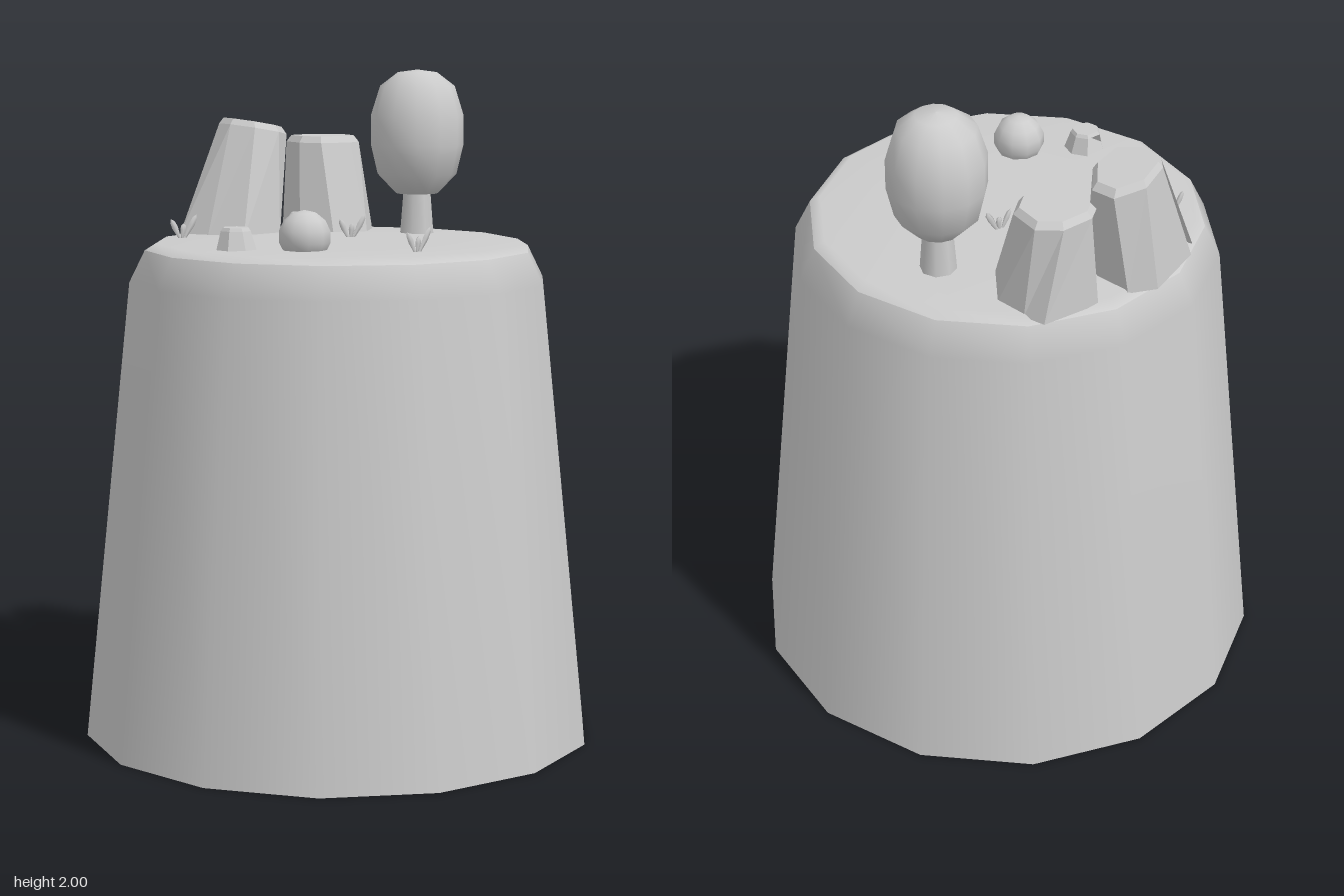
import * as THREE from 'three';

const material = (options = {}) => new THREE.MeshStandardMaterial({ color: 0xcccccc, ...options });
const smooth = material({ side: THREE.DoubleSide });
const faceted = material({ side: THREE.DoubleSide, flatShading: true });

function mesh(name, geometry, mat = smooth) {
  const m = new THREE.Mesh(geometry, mat);
  m.name = name;
  return m;
}

function lathe(points, sides, start = 0) {
  return new THREE.LatheGeometry(points.map(([r, y]) => new THREE.Vector2(r, y)), sides, start);
}

// Hollow tapered rock with a bevelled cap; the last side, at the back, is left open
function rock(name, base, top, baseY, topY, bevel) {
  const n = base.length;
  const cx = top.reduce((s, p) => s + p[0], 0) / n;
  const cz = top.reduce((s, p) => s + p[1], 0) / n;
  const rings = [
    base.map(([x, z]) => [x, baseY, z]),
    top.map(([x, z]) => [x, topY(x) - bevel, z]),
    top.map(([x, z]) => {
      const ix = cx + (x - cx) * 0.86, iz = cz + (z - cz) * 0.86;
      return [ix, topY(ix), iz];
    }),
  ];
  const index = [];
  for (let r = 0; r < 2; r++) {
    for (let i = 0; i < n; i++) {
      if (r === 0 && i === n - 1) continue;
      const a = r * n + i, b = r * n + (i + 1) % n;
      index.push(a, b, b + n, a, b + n, a + n);
    }
  }
  for (let i = 0; i < n; i++) index.push(2 * n + i, 2 * n + (i + 1) % n, 3 * n);
  const g = new THREE.BufferGeometry();
  const positions = [...rings.flat(2), cx, topY(cx), cz];
  g.setAttribute('position', new THREE.Float32BufferAttribute(positions, 3));
  g.setIndex(index);
  g.computeVertexNormals();
  return mesh(name, g, faceted);
}

// Outline of a small rock, starting and ending beside its open back
function outline(cx, cz, radius) {
  return Array.from({ length: 7 }, (_, i) => {
    const t = Math.PI * (1.17 + i * 0.277);
    return [cx + radius * Math.sin(t), cz + radius * Math.cos(t)];
  });
}

// Three narrow flattened blades fanning out from one root
function grassTuft(x, z, turn) {
  const tuft = new THREE.Group();
  tuft.name = 'grassTuft';
  [[-0.45, 0.065], [0.1, 0.045], [0.5, 0.08]].forEach(([lean, height], i) => {
    const g = lathe([[0.004, 0], [0.01, height * 0.55], [0.008, height * 0.85], [0, height]], 5);
    g.scale(1, 1, 0.5);
    const blade = mesh('grassBlade', g);
    blade.position.x = (i - 1) * 0.008;
    blade.rotation.z = -lean;
    tuft.add(blade);
  });
  tuft.position.set(x, 1.495, z);
  tuft.rotation.y = turn;
  return tuft;
}

export function createModel() {
  const model = new THREE.Group();
  model.name = 'pillarIsland';

  // Tapered pillar, open underneath, with a low domed top
  const start = THREE.MathUtils.degToRad(-6.4);
  model.add(mesh('pillarWall', lathe([[0.772, 0], [0.629, 1.38], [0.582, 1.475]], 14, start)));
  model.add(mesh('groundTop', lathe([[0.582, 1.475], [0.55, 1.495], [0.3, 1.498], [0, 1.498]], 14, start)));

  // Two tall rocks at the back edge
  model.add(rock('leaningRock',
    [[-0.31, -0.47], [-0.26, -0.37], [-0.18, -0.28], [-0.03, -0.33], [0.02, -0.44], [0, -0.55], [-0.08, -0.585], [-0.27, -0.51]],
    [[-0.16, -0.49], [-0.155, -0.42], [-0.1, -0.36], [-0.01, -0.375], [0.055, -0.45], [0.04, -0.525], [-0.05, -0.555], [-0.14, -0.52]],
    1.485, (x) => 1.835 - 0.17 * (x + 0.06), 0.02));
  model.add(rock('uprightRock',
    [[0.05, -0.47], [0.05, -0.35], [0.12, -0.255], [0.23, -0.24], [0.315, -0.36], [0.3, -0.46], [0.28, -0.525], [0.1, -0.54]],
    [[0.08, -0.5], [0.075, -0.4], [0.12, -0.34], [0.22, -0.335], [0.275, -0.38], [0.28, -0.48], [0.22, -0.53], [0.12, -0.53]],
    1.485, () => 1.79, 0.02));

  // Two small rocks
  for (const [x, z] of [[-0.4, 0.125], [0.035, -0.295]]) {
    model.add(rock('smallRock', outline(x, z, 0.062), outline(x, z - 0.005, 0.045),
      1.49, () => 1.56, 0.01));
  }

  // Tree
  const tree = new THREE.Group();
  tree.name = 'tree';
  tree.position.set(0.345, 0, -0.13);
  tree.add(mesh('trunk', lathe([[0.054, 1.49], [0.042, 1.64]], 8)));
  tree.add(mesh('foliage', lathe([[0, 1.615], [0.065, 1.62], [0.122, 1.68], [0.143, 1.77],
    [0.143, 1.86], [0.115, 1.95], [0.06, 1.992], [0, 2]], 12)));
  model.add(tree);

  // Round bush
  const bush = mesh('bush', new THREE.SphereGeometry(0.077, 10, 7));
  bush.position.set(-0.235, 1.535, 0.235);
  model.add(bush);

  // Grass tufts
  model.add(grassTuft(-0.37, -0.315, -0.1), grassTuft(0.085, -0.08, -0.12), grassTuft(0.025, 0.433, 0.12));
  return model;
}
